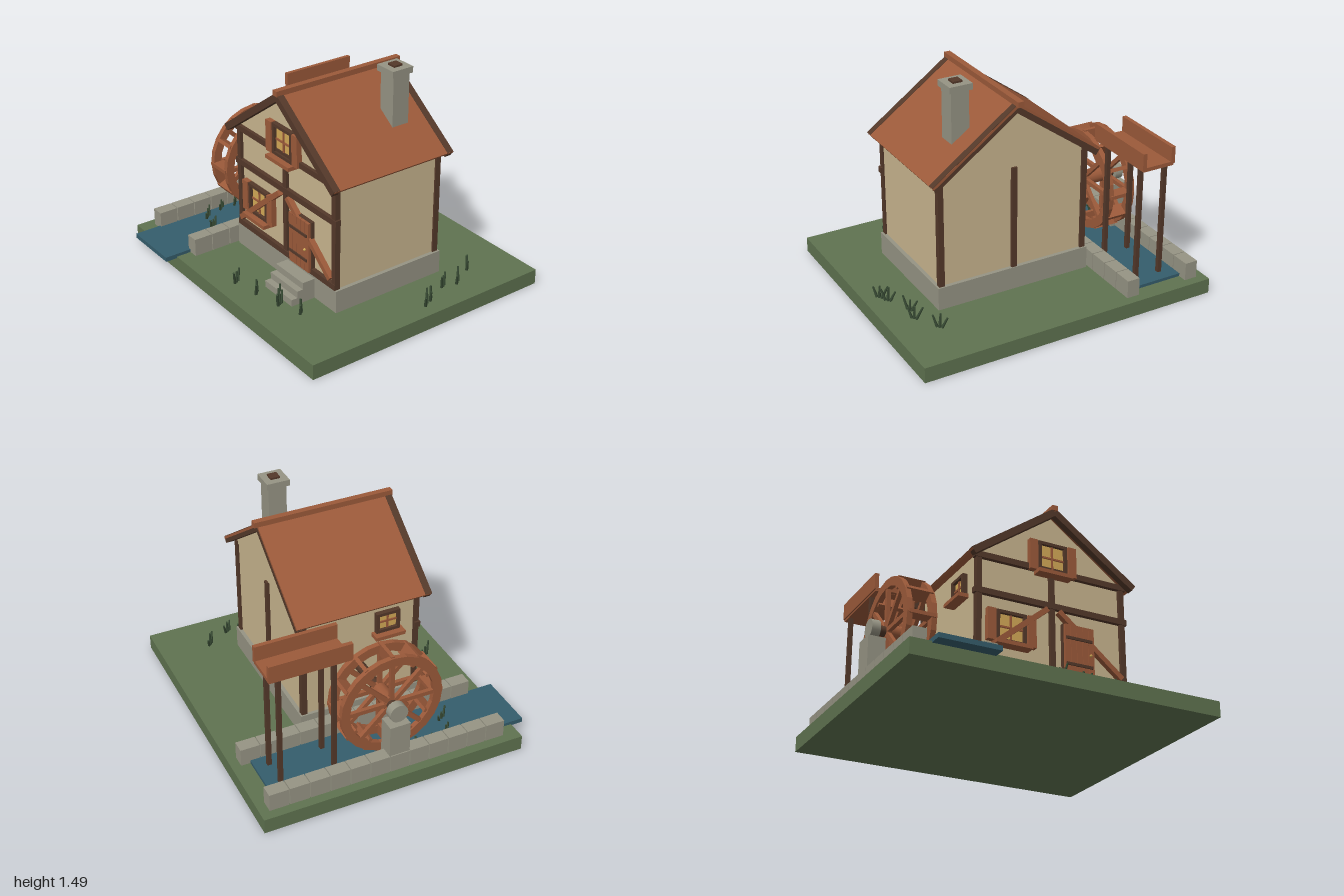
import * as THREE from 'three';

const mat = (name, color) => Object.assign(new THREE.MeshStandardMaterial({ color }), { name });

export function createModel() {
  const M = {
    grass: mat('grass', 0x5f7350), water: mat('water', 0x355d6c), stone: mat('stone', 0x969484),
    plaster: mat('plaster', 0xc9b68f), dark: mat('dark timber', 0x54392a), wood: mat('red brown wood', 0x9c5a3a),
    glass: mat('lit glass', 0xd4aa57), reed: mat('reed', 0x394c35),
  };
  const root = new THREE.Group();
  root.name = 'watermill';
  const group = (name, parent = root) => {
    const g = new THREE.Group();
    g.name = name;
    parent.add(g);
    return g;
  };
  const add = (name, geo, m, parent = root) => {
    const o = new THREE.Mesh(geo, m);
    o.name = name;
    parent.add(o);
    return o;
  };
  // Box given by its limits on each axis
  const box = (name, m, x0, x1, y0, y1, z0, z1, parent) => {
    const o = add(name, new THREE.BoxGeometry(x1 - x0, y1 - y0, z1 - z0), m, parent);
    o.position.set((x0 + x1) / 2, (y0 + y1) / 2, (z0 + z1) / 2);
    return o;
  };
  // Board running between two points of the xy plane
  const board = (name, m, x0, y0, x1, y1, thick, z0, z1, parent) => {
    const o = add(name, new THREE.BoxGeometry(Math.hypot(x1 - x0, y1 - y0), thick, z1 - z0), m, parent);
    o.position.set((x0 + x1) / 2, (y0 + y1) / 2, (z0 + z1) / 2);
    o.rotation.z = Math.atan2(y1 - y0, x1 - x0);
    return o;
  };

  // Ground, stream and its stone banks
  box('ground', M.grass, -1, 1, 0, 0.1, -0.91, 0.83);
  box('stream', M.water, -0.87, -0.485, 0.09, 0.12, -0.79, 0.91);
  const banks = group('streamBanks');
  for (const x of [-0.94, -0.505])
    for (let i = 0; i < 12; i++) {
      const z = -0.85 + i * 0.132;
      box('bankStone', M.stone, x, x + 0.085, 0.1, 0.218, z, z + 0.126, banks);
    }

  // House body
  const house = group('house');
  const cx = 0.12;
  box('foundation', M.stone, -0.405, 0.65, 0.1, 0.25, -0.405, 0.405, house);
  box('walls', M.plaster, -0.385, 0.625, 0.25, 0.93, -0.38, 0.38, house);
  const gable = new THREE.Shape([[-0.385, 0.93], [0.625, 0.93], [0.625, 0.955], [cx, 1.325], [-0.385, 0.955]]
    .map(p => new THREE.Vector2(...p)));
  const gableMesh = add('gable', new THREE.ExtrudeGeometry(gable, { depth: 0.77, bevelEnabled: false }), M.plaster, house);
  gableMesh.position.z = -0.385;

  // Timber frame
  const frame = group('timberFrame');
  for (const x of [-0.395, 0.6])
    for (const z of [-0.395, 0.365]) box('cornerPost', M.dark, x, x + 0.036, 0.25, 0.95, z, z + 0.037, frame);
  box('frontPost', M.dark, 0.103, 0.138, 0.25, 0.93, 0.37, 0.402, frame);
  box('backPost', M.dark, 0.103, 0.138, 0.25, 0.93, -0.4, -0.37, frame);
  for (const [y, w] of [[0.25, 0.515], [0.688, 0.528], [0.925, 0.528]])
    box('crossBeam', M.dark, cx - w, cx + w, y, y + 0.038, 0.37, 0.407, frame);
  for (const s of [-1, 1])
    board('brace', M.wood, cx + s * 0.04, 0.675, cx + s * 0.475, 0.315, 0.034, 0.385, 0.421, frame);

  // Roof slopes, gable boards and ridge
  const roof = group('roof');
  for (const s of [-1, 1]) {
    board('roofSlope', M.wood, cx, 1.35, cx + s * 0.568, 0.942, 0.016, -0.443, 0.452, roof);
    for (const z of [-0.442, 0.39]) {
      const drop = s < 0 && z < 0 ? 0.028 : 0.014;
      board('gableBoard', M.dark, cx, 1.35 - drop, cx + s * 0.56, 0.947 - drop, 0.045, z, z + 0.045, roof)
        .position.z += z > 0 ? 0.02 : 0;
    }
  }
  box('ridgeCap', M.wood, 0.1, 0.14, 1.345, 1.38, -0.467, 0.46, roof);

  // Chimney
  const chimney = group('chimney');
  box('chimneyShaft', M.stone, 0.353, 0.472, 1.04, 1.44, -0.265, -0.145, chimney);
  box('chimneyCap', M.stone, 0.335, 0.487, 1.435, 1.475, -0.28, -0.128, chimney);
  box('chimneyFlue', M.dark, 0.38, 0.442, 1.47, 1.487, -0.236, -0.174, chimney);

  // Windows, built facing +z around their own centre
  const makeWindow = (name, w, h, shutters) => {
    const g = group(name), a = w / 2, b = h / 2, t = 0.02;
    box('pane', M.glass, -a + t, a - t, -b + t, b - t, 0, 0.012, g);
    for (const s of [-1, 1]) {
      box('jamb', M.dark, s * (a - t / 2) - t / 2, s * (a - t / 2) + t / 2, -b, b, 0, 0.032, g);
      box('rail', M.dark, -a, a, s * (b - t / 2) - t / 2, s * (b - t / 2) + t / 2, 0, 0.032, g);
      if (shutters) box('shutter', M.wood, s * (a + 0.035) - 0.028, s * (a + 0.035) + 0.028, -b, b, 0, 0.036, g);
    }
    box('mullion', M.wood, -0.006, 0.006, -b + t, b - t, 0, 0.02, g);
    box('transom', M.wood, -a + t, a - t, -0.006, 0.006, 0, 0.02, g);
    box('sill', M.wood, -a - 0.02, a + 0.02, -b - 0.027, -b - 0.002, 0, 0.07, g);
    return g;
  };
  makeWindow('lowerWindow', 0.2, 0.205, true).position.set(-0.163, 0.5, 0.382);
  makeWindow('upperWindow', 0.2, 0.205, true).position.set(0.122, 1.027, 0.387);
  const side = makeWindow('sideWindow', 0.16, 0.14, false);
  side.position.set(-0.386, 0.8, 0.18);
  side.rotation.y = -Math.PI / 2;

  // Plank door and steps
  const door = group('door');
  box('doorBack', M.dark, 0.187, 0.402, 0.255, 0.605, 0.37, 0.405, door);
  for (let i = 0; i < 5; i++) {
    const x = 0.193 + i * 0.041;
    box('plank', M.wood, x, x + 0.038, 0.262, 0.6, 0.4, 0.423, door);
  }
  for (const y of [0.332, 0.502]) box('strap', M.dark, 0.2, 0.382, y, y + 0.018, 0.42, 0.43, door);
  add('knob', new THREE.SphereGeometry(0.009, 10, 8), M.glass, door).position.set(0.367, 0.417, 0.431);
  const steps = group('steps');
  for (let i = 0; i < 3; i++)
    box('step', M.stone, 0.15, 0.433, 0.1, 0.235 - i * 0.045, 0.4, 0.492 + i * 0.042, steps);

  // Water wheel around the x axis
  const wheel = group('waterWheel');
  wheel.position.set(-0.715, 0.5, 0.01);
  const ring = new THREE.Shape().absarc(0, 0, 0.338, 0, Math.PI * 2);
  ring.holes.push(new THREE.Path().absarc(0, 0, 0.28, 0, Math.PI * 2, true));
  const ringGeo = new THREE.ExtrudeGeometry(ring, { depth: 0.034, bevelEnabled: false, curveSegments: 12 })
    .translate(0, 0, -0.017).rotateY(Math.PI / 2);
  for (const x of [-0.078, 0.078]) {
    add('rim', ringGeo, M.wood, wheel).position.x = x;
    for (let i = 0; i < 4; i++)
      box('spoke', M.wood, x - 0.013, x + 0.013, -0.29, 0.29, -0.014, 0.014, wheel).rotation.x = i * Math.PI / 4;
  }
  for (let i = 0; i < 12; i++) {
    const arm = group('paddleArm', wheel);
    arm.rotation.x = i * Math.PI / 6;
    box('paddle', M.wood, -0.085, 0.085, -0.012, 0.012, 0.262, 0.345, arm);
  }
  const axial = (name, r, x0, x1, m, sides) => {
    const o = add(name, new THREE.CylinderGeometry(r, r, x1 - x0, sides).rotateZ(Math.PI / 2), m);
    o.position.set((x0 + x1) / 2, 0.5, 0.005);
  };
  axial('hub', 0.05, -0.8, -0.63, M.wood, 12);
  axial('axle', 0.033, -0.9, -0.37, M.dark, 12);
  axial('axleBearing', 0.06, -0.908, -0.852, M.stone, 16);
  box('bearingPier', M.stone, -0.933, -0.822, 0.1, 0.43, -0.065, 0.07);

  // Flume on four posts
  const flume = group('flume');
  box('flumeFloor', M.wood, -0.775, -0.558, 0.887, 0.912, -0.762, -0.242, flume);
  for (const x of [-0.783, -0.577]) box('flumeSide', M.wood, x, x + 0.027, 0.9, 1.01, -0.765, -0.24, flume);
  for (const x of [-0.769, -0.594])
    for (const z of [-0.713, -0.363]) box('flumePost', M.dark, x, x + 0.027, 0.1, 0.89, z, z + 0.027, flume);

  // Reed tufts of three leaning blades
  const reeds = group('reeds');
  const blade = new THREE.CylinderGeometry(0.006, 0.01, 0.09, 5).translate(0, 0.045, 0);
  const spots = [[0.73, -0.57], [0.82, -0.41], [0.8, -0.31], [0.87, -0.15], [0.9, -0.09], [0, 0.69], [0.18, 0.66],
    [0.33, 0.6], [0.37, 0.62], [0.52, 0.57], [-0.78, 0.41], [-0.65, 0.45], [-0.83, 0.16], [-0.83, 0.27]];
  spots.forEach(([x, z], n) => {
    const tuft = group('reedTuft', reeds);
    tuft.position.set(x, 0.1, z);
    tuft.rotation.y = -0.5 - (n % 3) * 0.15;
    for (let k = -1; k <= 1; k++) {
      const b = add('blade', blade, M.reed, tuft);
      b.position.set(k * 0.016, 0, k * 0.006);
      b.rotation.z = -k * 0.38 + 0.08;
      b.scale.y = 1.05 - 0.12 * ((k + n + 3) % 3);
    }
  });
  return root;
}
